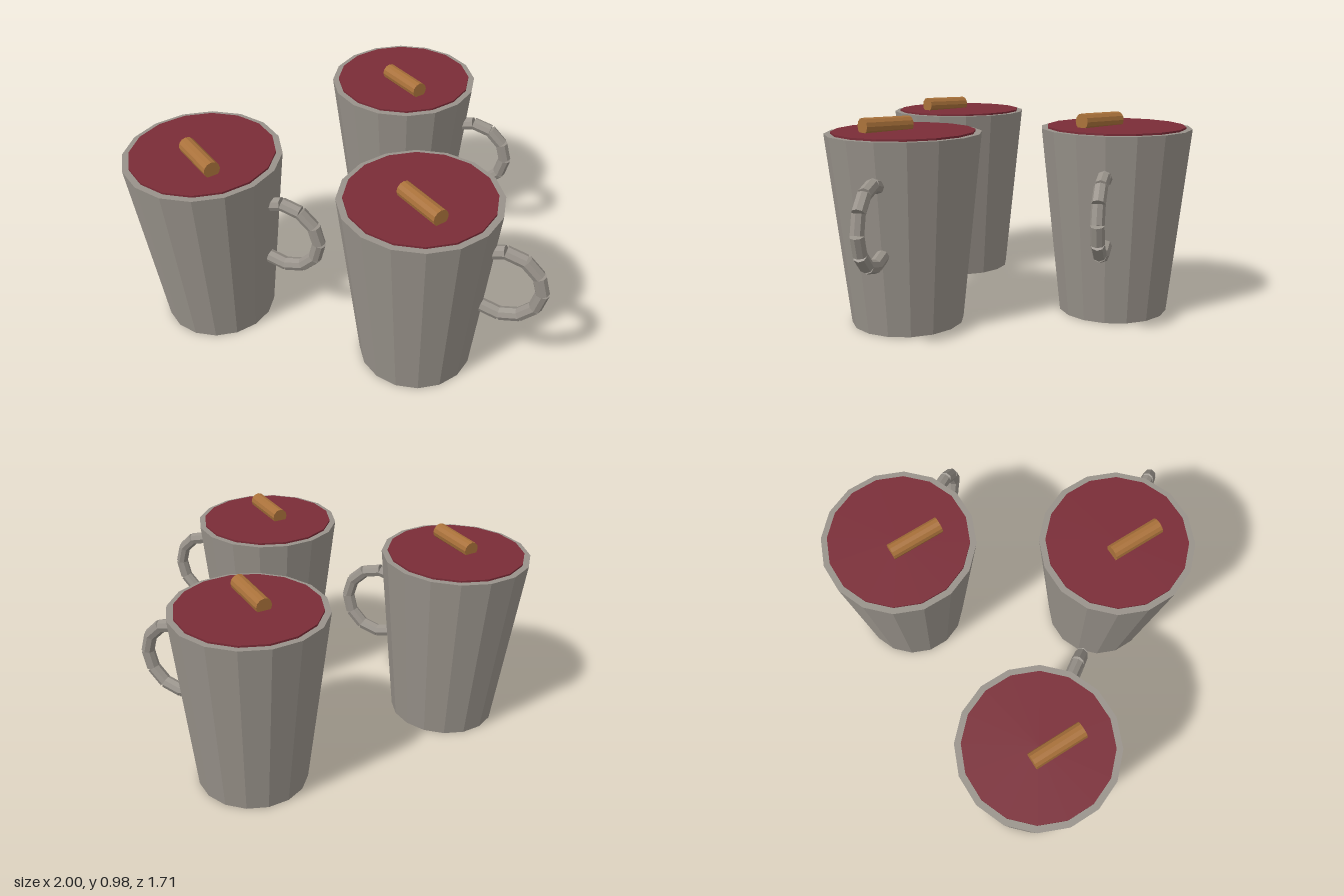
import * as THREE from 'three';

const mat = (name, color) => {
  const m = new THREE.MeshStandardMaterial({ color, flatShading: true });
  m.name = name;
  return m;
};

export function createModel() {
  const pewter = mat('pewter grey', 0x98928a);
  const wine = mat('wine red', 0x7a2c37);
  const cinnamon = mat('cinnamon brown', 0xa9713a);

  const add = (parent, name, geometry, material) => {
    const mesh = new THREE.Mesh(geometry, material);
    mesh.name = name;
    parent.add(mesh);
    return mesh;
  };

  // Ring handle made of short straight rods, 30 degrees apart
  const ringRadius = 0.179;
  const step = Math.PI / 6;
  const rod = new THREE.CylinderGeometry(0.032, 0.032, 2 * ringRadius * Math.sin(step / 2), 8);
  function makeHandle() {
    const handle = new THREE.Group();
    handle.name = 'handle';
    for (let i = -4; i < 4; i++) {
      const a = (i + 0.5) * step;
      const r = ringRadius * Math.cos(step / 2);
      const segment = add(handle, 'handleSegment', rod, pewter);
      segment.position.set(r * Math.cos(a), r * Math.sin(a), 0);
      segment.rotation.z = a;
    }
    handle.position.set(0.39, 0.545, 0);
    return handle;
  }

  const bodyShape = new THREE.CylinderGeometry(0.365, 0.267, 0.905, 16);
  const drinkShape = new THREE.CylinderGeometry(0.335, 0.335, 0.02, 16);
  const stickShape = new THREE.CylinderGeometry(0.039, 0.039, 0.258, 12);

  function makeMug(x, z) {
    const mug = new THREE.Group();
    mug.name = 'mug';
    add(mug, 'mugBody', bodyShape, pewter).position.y = 0.4525;
    add(mug, 'drinkSurface', drinkShape, wine).position.y = 0.904;
    // Cinnamon stick half sunk in the drink, slightly tilted
    const stick = add(mug, 'cinnamonStick', stickShape, cinnamon);
    stick.position.set(0.03, 0.939, 0.074);
    stick.rotation.set(0, -0.59, Math.PI / 2 + 0.03);
    mug.add(makeHandle());
    mug.position.set(x, 0, z);
    return mug;
  }

  const model = new THREE.Group();
  model.name = 'mugs';
  for (const [x, z] of [[-0.636, 0.487], [0.4, 0.438], [-0.017, -0.494]]) model.add(makeMug(x, z));
  return model;
}
